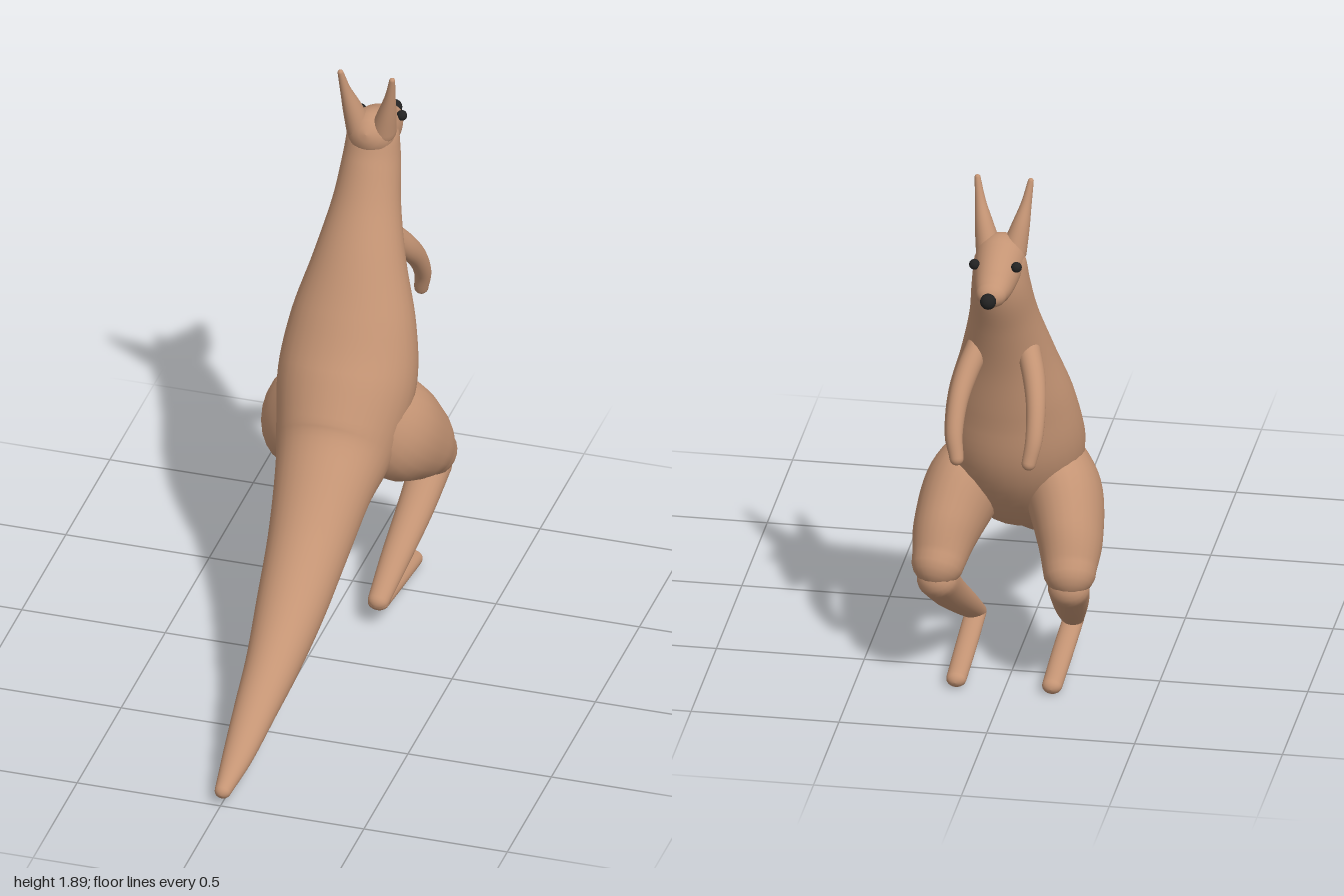
import * as THREE from 'three';

const fur = new THREE.MeshStandardMaterial({ color: 0xc49474 });
const dark = new THREE.MeshStandardMaterial({ color: 0x222222 });

// Sweeps an ellipse along a smooth path with rounded ends.
// Each station is [x, y, z, sideways radius, radius in the side plane].
function sweep(name, stations, sides = 24, steps = 6) {
  const path = new THREE.CatmullRomCurve3(stations.map(s => new THREE.Vector3(s[0], s[1], s[2])), false, 'catmullrom');
  const radii = new THREE.CatmullRomCurve3(stations.map(s => new THREE.Vector3(s[3], s[4], 0)), false, 'catmullrom');
  const rings = [];
  const addRing = (t, push, scale) => {
    const T = path.getTangent(t);
    const r = radii.getPoint(t);
    const c = path.getPoint(t).addScaledVector(T, push * Math.min(r.x, r.y));
    rings.push({ c, T, a: r.x * scale, b: r.y * scale });
  };
  const capSteps = 5;
  const n = (stations.length - 1) * steps;
  for (let i = 0; i < capSteps; i++) {
    const k = (i / capSteps) * Math.PI / 2;
    addRing(0, -Math.cos(k), Math.max(Math.sin(k), 0.001));
  }
  for (let i = 0; i <= n; i++) addRing(i / n, 0, 1);
  for (let i = 1; i <= capSteps; i++) {
    const k = (i / capSteps) * Math.PI / 2;
    addRing(1, Math.sin(k), Math.max(Math.cos(k), 0.001));
  }

  const pos = [], index = [];
  rings.forEach(({ c, T, a, b }, i) => {
    const S = new THREE.Vector3(1, 0, 0).addScaledVector(T, -T.x).normalize();
    const U = new THREE.Vector3().crossVectors(T, S);
    for (let j = 0; j < sides; j++) {
      const k = (j / sides) * Math.PI * 2;
      const p = c.clone().addScaledVector(S, a * Math.cos(k)).addScaledVector(U, b * Math.sin(k));
      pos.push(p.x, p.y, p.z);
      if (i === 0) continue;
      const p0 = (i - 1) * sides + j, p1 = (i - 1) * sides + (j + 1) % sides;
      index.push(p0, p1, p1 + sides, p0, p1 + sides, p0 + sides);
    }
  });
  const geo = new THREE.BufferGeometry();
  geo.setAttribute('position', new THREE.Float32BufferAttribute(pos, 3));
  geo.setIndex(index);
  geo.computeVertexNormals();
  const mesh = new THREE.Mesh(geo, fur);
  mesh.name = name;
  return mesh;
}

function ball(name, r, x, y, z) {
  const mesh = new THREE.Mesh(new THREE.SphereGeometry(r, 20, 14), dark);
  mesh.name = name;
  mesh.position.set(x, y, z);
  return mesh;
}

export function createModel() {
  const model = new THREE.Group();
  model.name = 'kangaroo';

  // Tail, torso and neck in one continuous skin
  model.add(sweep('body', [
    [0, 0.047, 0.972, 0.028, 0.026],
    [0, 0.085, 0.80, 0.052, 0.045],
    [0, 0.15, 0.60, 0.073, 0.066],
    [0, 0.215, 0.40, 0.093, 0.09],
    [0, 0.315, 0.20, 0.118, 0.112],
    [0, 0.44, 0.00, 0.14, 0.133],
    [0, 0.57, -0.17, 0.168, 0.155],
    [0, 0.67, -0.315, 0.205, 0.2],
    [0, 0.84, -0.44, 0.235, 0.21],
    [0, 1.03, -0.515, 0.212, 0.172],
    [0, 1.22, -0.585, 0.158, 0.135],
    [0, 1.39, -0.66, 0.117, 0.108],
    [0, 1.52, -0.715, 0.1, 0.097],
    [0, 1.61, -0.735, 0.09, 0.08],
  ], 32));

  // Head, from the crown to the muzzle
  model.add(sweep('head', [
    [0, 1.632, -0.725, 0.084, 0.083],
    [0, 1.607, -0.79, 0.077, 0.082],
    [0, 1.585, -0.86, 0.064, 0.066],
    [0, 1.578, -0.908, 0.052, 0.046],
  ], 28));
  model.add(ball('nose', 0.027, 0, 1.58, -0.973));

  for (const [side, s] of [['left', 1], ['right', -1]]) {
    const limb = (part, stations) =>
      model.add(sweep(side + part, stations.map(([x, ...rest]) => [x * s, ...rest])));

    model.add(ball(side + 'Eye', 0.018, s * 0.071, 1.645, -0.828));

    limb('Ear', [
      [0.042, 1.65, -0.712, 0.044, 0.05],
      [0.062, 1.735, -0.693, 0.031, 0.036],
      [0.078, 1.81, -0.673, 0.018, 0.02],
      [0.09, 1.885, -0.656, 0.01, 0.01],
    ]);

    limb('Arm', [
      [0.085, 1.27, -0.67, 0.04, 0.045],
      [0.115, 1.195, -0.735, 0.038, 0.043],
      [0.132, 1.12, -0.80, 0.033, 0.036],
      [0.135, 1.03, -0.856, 0.029, 0.029],
      [0.122, 0.952, -0.883, 0.024, 0.024],
    ]);

    // Broad thigh blending into the hip
    limb('Thigh', [
      [0.09, 0.77, -0.36, 0.11, 0.13],
      [0.165, 0.66, -0.455, 0.13, 0.175],
      [0.208, 0.55, -0.575, 0.112, 0.14],
      [0.222, 0.465, -0.66, 0.09, 0.092],
    ]);

    limb('Shin', [
      [0.222, 0.405, -0.675, 0.07, 0.066],
      [0.205, 0.30, -0.545, 0.062, 0.056],
      [0.182, 0.19, -0.39, 0.05, 0.044],
      [0.165, 0.10, -0.258, 0.037, 0.031],
    ]);

    limb('Foot', [
      [0.165, 0.093, -0.255, 0.036, 0.026],
      [0.163, 0.062, -0.46, 0.036, 0.028],
      [0.162, 0.032, -0.655, 0.034, 0.028],
    ]);
  }
  return model;
}
